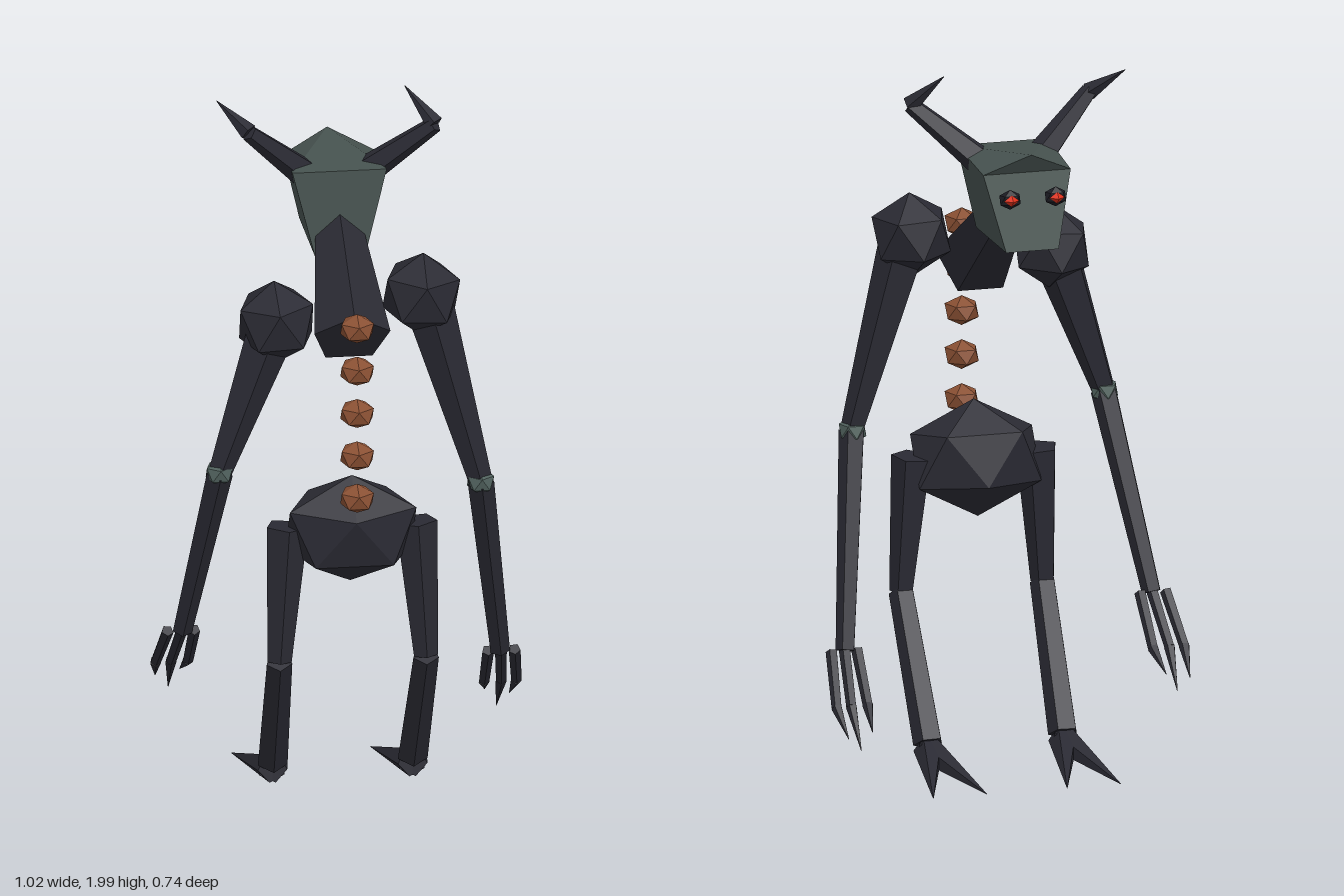
import * as THREE from 'three';

const mat = (name, color) => {
  const m = new THREE.MeshStandardMaterial({ color, flatShading: true });
  m.name = name;
  return m;
};

export function createModel() {
  const root = new THREE.Group();
  root.name = 'hornedCreature';
  const hide = mat('dark hide', 0x2a2a33);
  const bone = mat('grey green bone', 0x46524f);
  const joint = mat('joint grey green', 0x50615d);
  const rust = mat('rust brown', 0x8a5033);
  const socketMat = mat('eye socket black', 0x1b1b22);
  const red = mat('eye red', 0xe0301a);

  const add = (name, geo, material, parent = root) => {
    const m = new THREE.Mesh(geo, material);
    m.name = name;
    parent.add(m);
    return m;
  };
  const group = (name) => {
    const g = new THREE.Group();
    g.name = name;
    root.add(g);
    return g;
  };

  // Tapered straight piece between two points
  const limb = (name, a, b, ra, rb, parent = root, sides = 5) => {
    let p = new THREE.Vector3(...a), q = new THREE.Vector3(...b);
    if (q.y < p.y) { [p, q] = [q, p]; [ra, rb] = [rb, ra]; }
    const dir = q.clone().sub(p);
    const m = add(name, new THREE.CylinderGeometry(rb, ra, dir.length(), sides), hide, parent);
    m.position.copy(p).add(q).multiplyScalar(0.5);
    m.quaternion.setFromUnitVectors(new THREE.Vector3(0, 1, 0), dir.normalize());
    return m;
  };

  // Twenty-sided ball standing on one corner
  const ball = (name, pos, size, material, parent = root) => {
    const g = new THREE.IcosahedronGeometry(1, 0);
    g.rotateZ(-Math.atan2(2, 1 + Math.sqrt(5)));
    g.rotateY(-Math.PI / 2);
    g.scale(...size);
    const m = add(name, g, material, parent);
    m.position.set(...pos);
    return m;
  };

  // Trunk
  ball('pelvis', [0, 0.83, 0.19], [0.205, 0.162, 0.13], hide).rotation.x = 0.12;
  limb('neck', [0, 1.385, 0.2], [0, 1.615, -0.105], 0.11, 0.065);
  for (let i = 0; i < 5; i++) {
    ball('vertebra', [0, 0.965 + i * 0.124, 0.32], [0.052, 0.042, 0.055], rust);
  }

  // Head: tapered block with a peaked brow
  const head = new THREE.BufferGeometry();
  head.setAttribute('position', new THREE.Float32BufferAttribute([
    -0.13, 1.78, -0.055, 0.13, 1.78, -0.055, // back top
    -0.125, 1.75, -0.285, 0.125, 1.75, -0.285, // face top
    -0.07, 1.54, -0.04, 0.07, 1.54, -0.04, // back bottom
    -0.075, 1.54, -0.335, 0.075, 1.54, -0.335, // face bottom
    0, 1.808, -0.325, // brow peak
  ], 3));
  head.setIndex([
    0, 1, 8, 0, 8, 2, 1, 3, 8, 2, 8, 3,
    0, 4, 5, 0, 5, 1, 2, 3, 7, 2, 7, 6,
    0, 2, 6, 0, 6, 4, 1, 5, 7, 1, 7, 3,
    4, 6, 7, 4, 7, 5,
  ]);
  const headFlat = head.toNonIndexed();
  headFlat.computeVertexNormals();
  add('head', headFlat, bone);

  // Eyes
  for (const s of [-1, 1]) {
    ball('eyeSocket', [s * 0.065, 1.69, -0.338], [0.034, 0.028, 0.02], socketMat);
    const eye = add('eye', new THREE.OctahedronGeometry(1), red);
    eye.scale.set(0.022, 0.016, 0.017);
    eye.position.set(s * 0.065, 1.69, -0.354);
  }

  // Horns, each bent at the middle with its own tip direction
  for (const [s, mid, tip] of [
    [-1, [-0.25, 1.905, -0.055], [-0.33, 1.975, -0.125]],
    [1, [0.262, 1.905, -0.055], [0.188, 1.995, -0.125]],
  ]) {
    const g = group(s < 0 ? 'rightHorn' : 'leftHorn');
    limb('hornBase', [s * 0.09, 1.755, -0.13], mid, 0.042, 0.024, g);
    limb('hornTip', mid, tip, 0.026, 0.001, g);
  }

  // Arms: the right one hangs higher at the hand and lower at the shoulder
  for (const [s, shoulderY, elbowY, wristY] of [[-1, 1.425, 1.0, 0.47], [1, 1.487, 0.94, 0.37]]) {
    const g = group(s < 0 ? 'rightArm' : 'leftArm');
    const elbow = [s * 0.36, elbowY, 0.165];
    const wrist = [s * 0.438, wristY, -0.025];
    ball('shoulder', [s * 0.2, shoulderY, 0.14], [0.118, 0.118, 0.125], hide, g).rotation.z = -s * 0.05;
    limb('upperArm', [s * 0.22, shoulderY - 0.03, 0.145], elbow, 0.07, 0.034, g);
    ball('elbow', elbow, [0.042, 0.038, 0.045], joint, g);
    limb('forearm', elbow, wrist, 0.038, 0.028, g);
    for (const [base, mid, tip, drop] of [
      [0.405, 0.408, 0.42, 0.185], [0.44, 0.455, 0.452, 0.235], [0.478, 0.497, 0.488, 0.2],
    ]) {
      const knuckle = [s * mid, wristY - 0.13, -0.135];
      limb('fingerBase', [s * base, wristY, -0.025], knuckle, 0.017, 0.015, g);
      limb('fingerTip', knuckle, [s * tip, wristY - drop, -0.215], 0.016, 0.001, g);
    }
  }

  // Legs with two-toed feet
  for (const s of [-1, 1]) {
    const g = group(s < 0 ? 'rightLeg' : 'leftLeg');
    const knee = [s * 0.202, 0.46, 0.218];
    const ankle = [s * 0.193, 0.085, 0.0];
    limb('thigh', [s * 0.178, 0.845, 0.195], knee, 0.06, 0.035, g);
    limb('shin', knee, ankle, 0.037, 0.043, g);
    for (const tipX of [0.115, 0.268]) {
      limb('toe', [s * 0.193, 0.065, 0.0], [s * tipX, 0.004, -0.285], 0.042, 0.001, g);
    }
  }
  return root;
}
